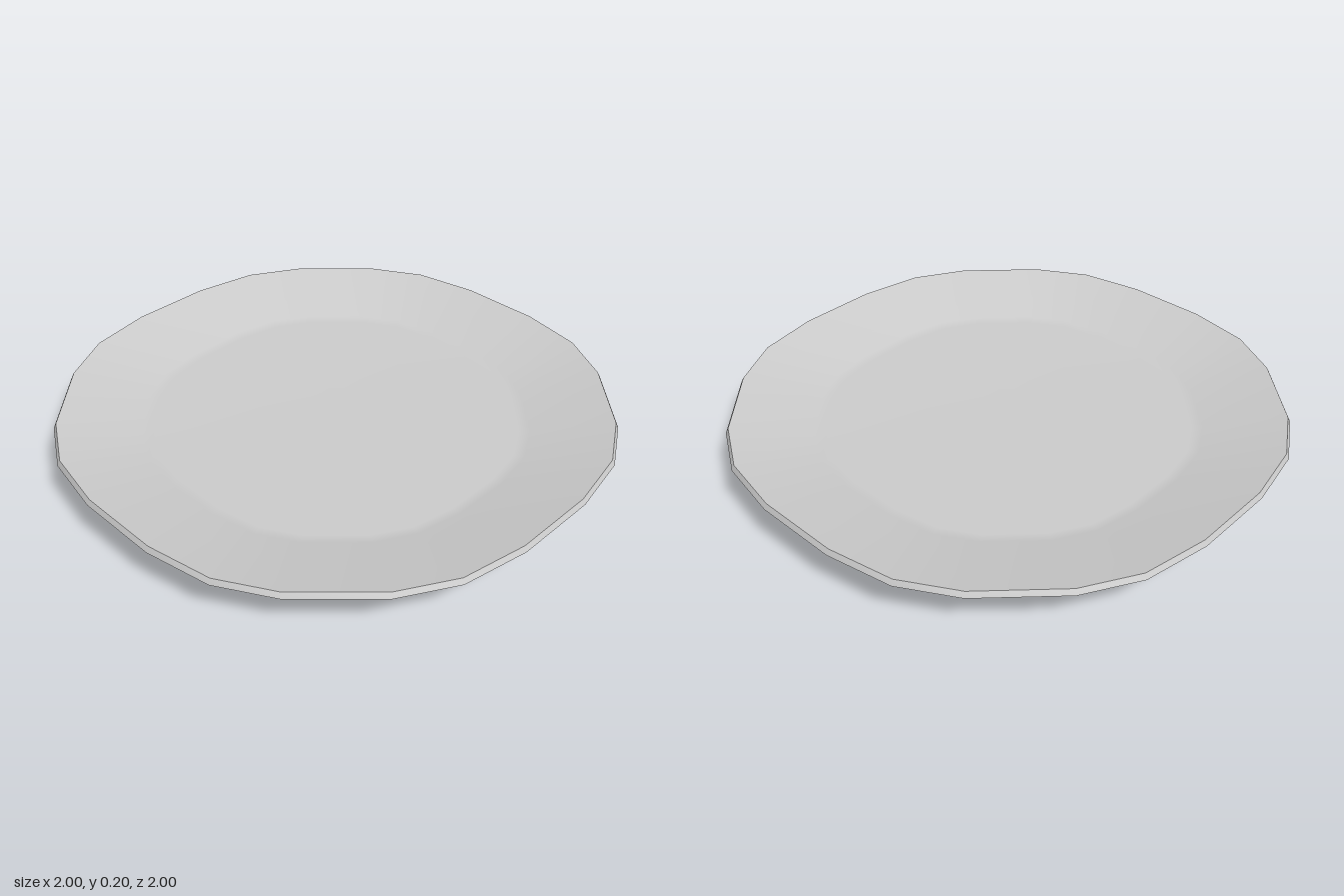
import * as THREE from 'three';

// One quarter of the slightly squared 24-sided outline, repeated by quarter turns
const QUARTER = [[1, 0.16], [0.953, 0.408], [0.84, 0.605], [0.605, 0.84], [0.408, 0.953], [0.16, 1]];
const OUTLINE = [];
let quarter = QUARTER;
for (let q = 0; q < 4; q++) {
  OUTLINE.push(...quarter);
  quarter = quarter.map(([x, z]) => [-z, x]);
}

// Lofts the outline through [scale, height] rings; smooth within one part
function loft(name, rings, material) {
  const n = OUTLINE.length;
  const positions = [];
  const indices = [];
  for (const [s, y] of rings) {
    for (const [x, z] of OUTLINE) positions.push(x * s, y, z * s);
  }
  for (let i = 0; i < rings.length - 1; i++) {
    for (let j = 0; j < n; j++) {
      const k = (j + 1) % n;
      const a = i * n + j, b = i * n + k;
      const c = a + n, d = b + n;
      if (rings[i][0] > 0) indices.push(a, b, c);
      if (rings[i + 1][0] > 0) indices.push(b, d, c);
    }
  }
  const geometry = new THREE.BufferGeometry();
  geometry.setAttribute('position', new THREE.Float32BufferAttribute(positions, 3));
  geometry.setIndex(indices);
  geometry.computeVertexNormals();
  const mesh = new THREE.Mesh(geometry, material);
  mesh.name = name;
  return mesh;
}

export function createModel() {
  const material = new THREE.MeshStandardMaterial({ color: 0xcccccc });
  const plate = new THREE.Group();
  plate.name = 'plate';

  plate.add(
    // Flat well rising gently to the rim
    loft('eatingSurface', [[0, 0.12], [0.66, 0.12], [0.7, 0.126], [0.99, 0.2]], material),
    // Thin edge around the rim
    loft('rimEdge', [[0.99, 0.2], [1, 0.18]], material),
    // Sloped underside, then the short step in to the foot
    loft('underside', [[1, 0.18], [0.88, 0.127], [0.62, 0.027]], material),
    loft('undersideStep', [[0.62, 0.027], [0.59, 0.025]], material),
    // Low foot with a flat base
    loft('footWall', [[0.59, 0.025], [0.59, 0]], material),
    loft('footBase', [[0.59, 0], [0, 0]], material),
  );
  return plate;
}
